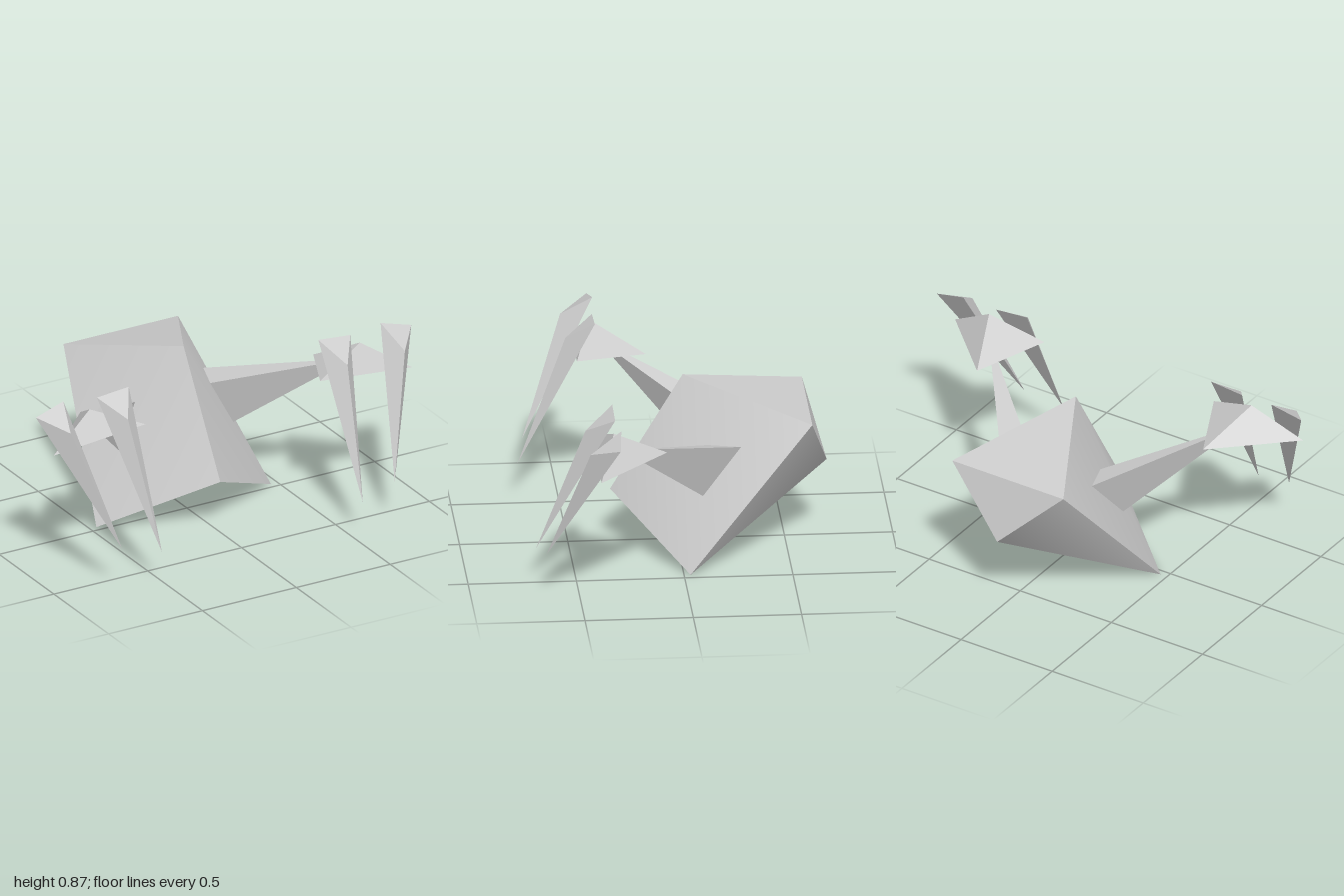
import * as THREE from 'three';
import { toCreasedNormals } from 'three/addons/utils/BufferGeometryUtils.js';
import { ConvexGeometry } from 'three/addons/geometries/ConvexGeometry.js';

const material = new THREE.MeshStandardMaterial({ color: 0xcccccc });

// Faceted spike: convex hull of four corners, mirrored by side
function spike(name, corners, side) {
  const points = corners.map(([x, y, z]) => new THREE.Vector3(x * side, y, z));
  const mesh = new THREE.Mesh(new ConvexGeometry(points), material);
  mesh.name = name;
  return mesh;
}

// Angular body shell with a notched underside
function createBody() {
  const corners = [
    [0, 0.81, -0.03],       // 0 crown
    [0, 0.255, 0.305],      // 1 front point
    [0.465, 0, -0.03],      // 2 left foot
    [-0.465, 0, -0.03],     // 3 right foot
    [0.305, 0.66, -0.605],  // 4 left rear corner
    [-0.305, 0.66, -0.605], // 5 right rear corner
    [0, 0.37, -0.695],      // 6 tail point
  ];
  const faces = [
    0, 1, 2, 0, 3, 1, // front
    0, 2, 4, 0, 5, 3, // sides
    0, 4, 5,          // top
    4, 6, 5,          // back
    2, 6, 4, 3, 5, 6, // rear flanks
    6, 2, 1, 6, 1, 3, // underside
  ];
  const geometry = new THREE.BufferGeometry();
  geometry.setAttribute('position', new THREE.Float32BufferAttribute(corners.flat(), 3));
  geometry.setIndex(faces);
  const mesh = new THREE.Mesh(toCreasedNormals(geometry, 0.95), material);
  mesh.name = 'body';
  return mesh;
}

// One arm: tapered upper arm, palm and two claws
function createArm(name, side) {
  const arm = new THREE.Group();
  arm.name = name;
  arm.add(
    spike('upperArm', [[0.2, 0.535, -0.13], [0.25, 0.54, -0.28], [0.305, 0.325, -0.1], [0.7, 0.72, 0.31]], side),
    spike('palm', [[0.62, 0.67, 0.09], [0.465, 0.705, 0.42], [0.955, 0.66, 0.42], [0.72, 0.81, 0.345]], side),
    spike('innerClaw', [[0.505, 0.87, 0.335], [0.675, 0.855, 0.335], [0.585, 0.775, 0.465], [0.535, 0.18, 0.69]], side),
    spike('outerClaw', [[0.845, 0.87, 0.32], [1, 0.83, 0.335], [0.89, 0.775, 0.465], [0.725, 0.225, 0.655]], side),
  );
  return arm;
}

export function createModel() {
  const model = new THREE.Group();
  model.name = 'clawedCreature';
  model.add(createBody(), createArm('leftArm', 1), createArm('rightArm', -1));
  return model;
}
